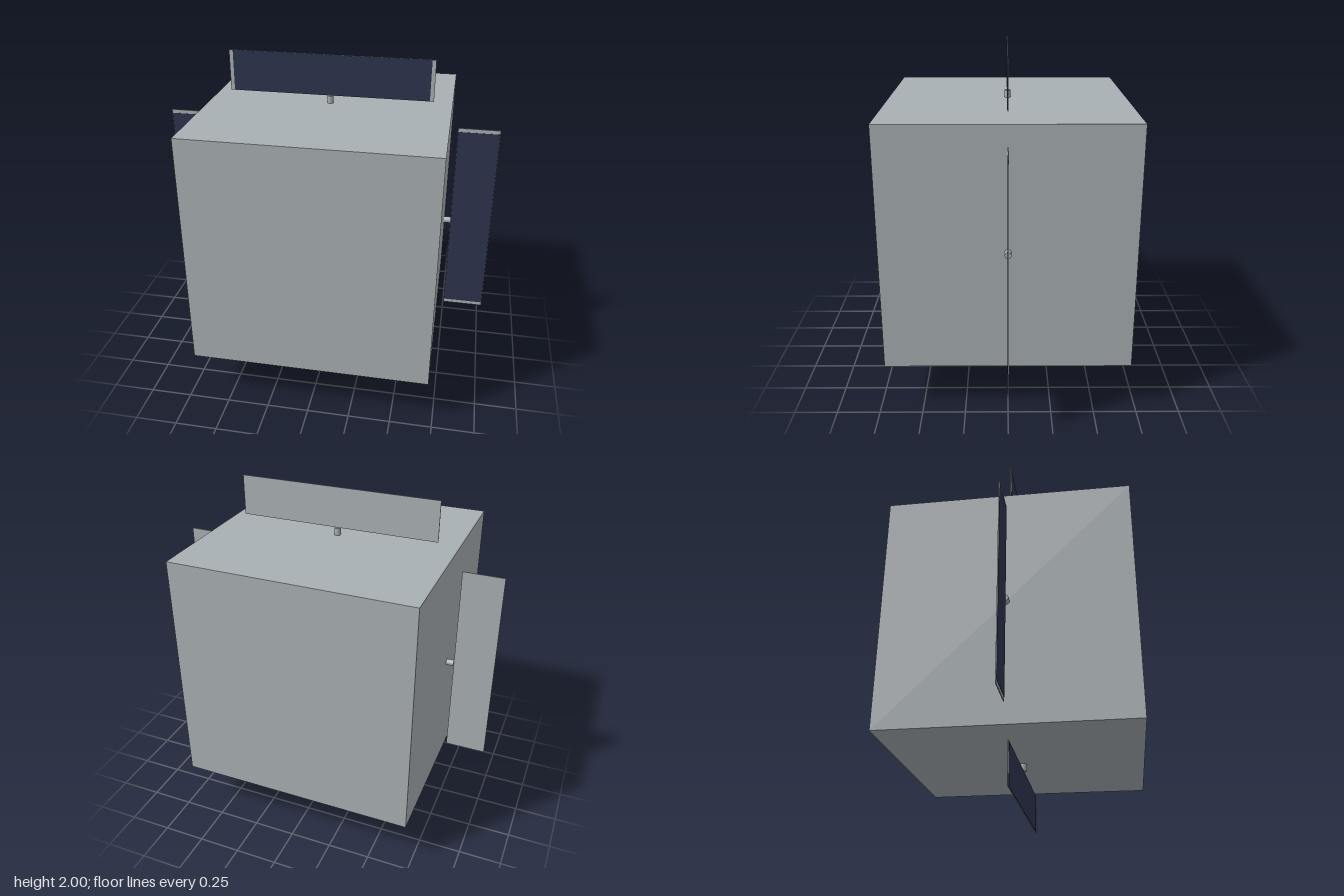
import * as THREE from 'three';

export function createModel() {
  const grey = new THREE.MeshStandardMaterial({ color: 0xa9b0b3 });
  grey.name = 'satelliteGrey';
  const navy = new THREE.MeshStandardMaterial({ color: 0x2d344f });
  navy.name = 'solarNavy';

  const HALF = 0.713;   // half side of the cube
  const INNER = 0.757;  // where each panel starts
  const OUTER = 1;      // where each panel ends
  const WIDTH = OUTER - INNER;
  const MID = (OUTER + INNER) / 2;

  const model = new THREE.Group();
  model.name = 'cubeSatellite';

  const add = (parent, geometry, material, name, x, y, z) => {
    const mesh = new THREE.Mesh(geometry, material);
    mesh.name = name;
    mesh.position.set(x, y, z);
    parent.add(mesh);
  };

  // Central body
  add(model, new THREE.BoxGeometry(HALF * 2, HALF * 2, HALF * 2), grey, 'body', 0, 1, 0);

  // Four arms around the z axis: rod, backing plate and solar cells on the front
  const rod = new THREE.CylinderGeometry(0.019, 0.019, INNER - HALF + 0.02, 16);
  const plate = new THREE.BoxGeometry(1.212, WIDTH, 0.005);
  const cells = new THREE.BoxGeometry(1.166, WIDTH - 0.004, 0.002);
  ['top', 'left', 'bottom', 'right'].forEach((side, i) => {
    const arm = new THREE.Group();
    arm.name = side + 'SolarArm';
    arm.position.y = 1;
    arm.rotation.z = -i * Math.PI / 2;
    add(arm, rod, grey, 'rod', 0, (HALF + INNER - 0.02) / 2, 0);
    add(arm, plate, grey, 'panel', 0, MID, 0);
    add(arm, cells, navy, 'solarCells', 0, MID, 0.003);
    model.add(arm);
  });

  return model;
}
